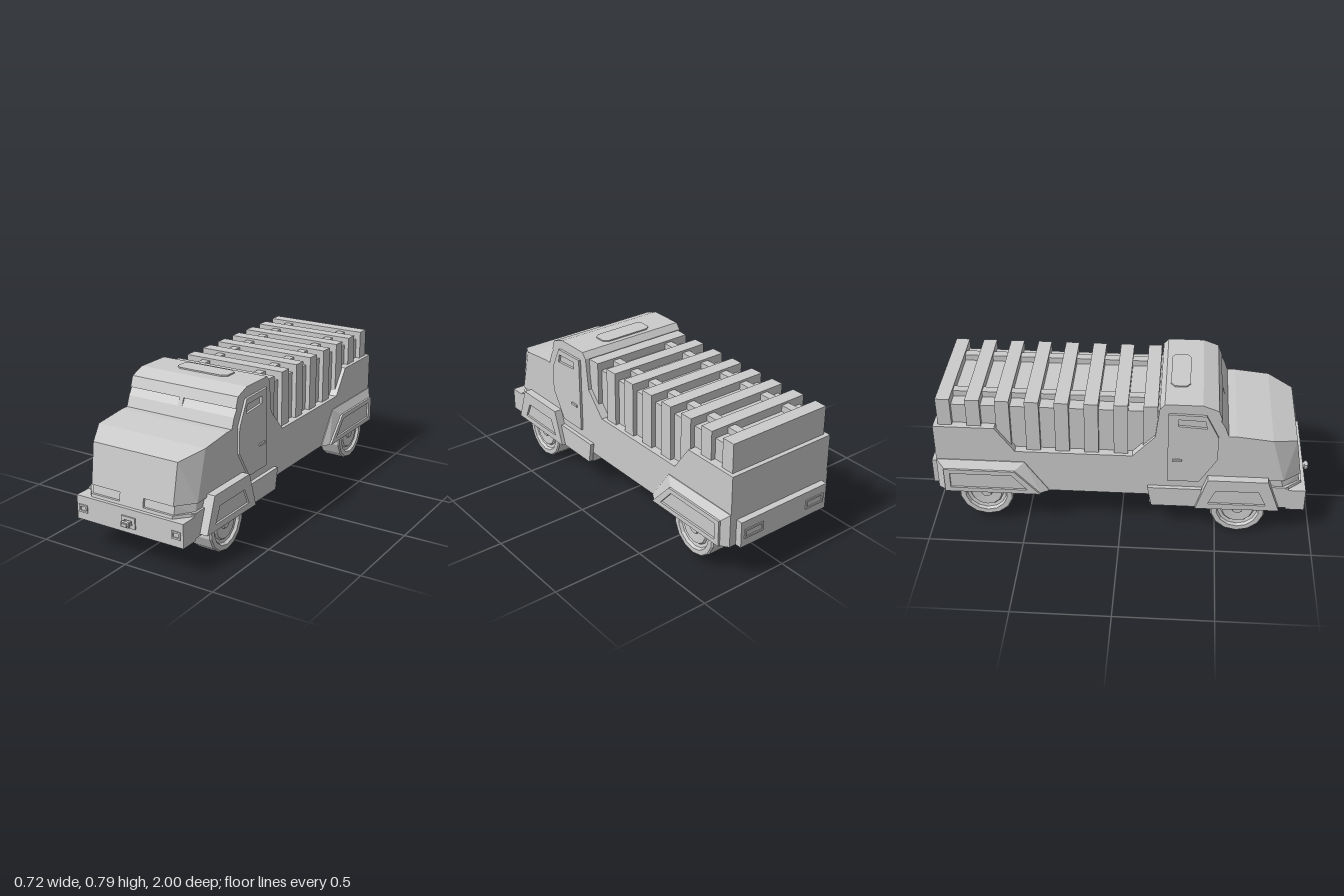
import * as THREE from 'three';
import { ConvexGeometry } from 'three/addons/geometries/ConvexGeometry.js';

const material = new THREE.MeshStandardMaterial({ color: 0xcccccc, flatShading: true });

export function createModel() {
  const truck = new THREE.Group();
  truck.name = 'armouredTruck';

  const add = (name, geometry) => {
    const mesh = new THREE.Mesh(geometry, material);
    mesh.name = name;
    truck.add(mesh);
    return mesh;
  };
  // Box given by its centre and size
  const box = (name, x, y, z, w, h, d) =>
    add(name, new THREE.BoxGeometry(w, h, d).translate(x, y, z));
  const outline = (points, hole) => {
    const shape = new THREE.Shape(points.map(p => new THREE.Vector2(...p)));
    if (hole) shape.holes.push(new THREE.Path(hole.map(p => new THREE.Vector2(...p))));
    return shape;
  };
  // Side outline in (z, y), extruded across x from a to b
  const across = (name, points, a, b, hole) =>
    add(name, new THREE.ExtrudeGeometry(outline(points, hole), { depth: Math.abs(b - a), bevelEnabled: false })
      .rotateY(-Math.PI / 2).translate(Math.max(a, b), 0, 0));
  // Convex solid; each point is mirrored to both sides
  const symmetricHull = (name, points) =>
    add(name, new ConvexGeometry(points.flatMap(([x, y, z]) =>
      [new THREE.Vector3(x, y, z), new THREE.Vector3(-x, y, z)])));
  // Rectangular rim facing front or back
  const rim = (name, x, y, z, w, h, t, depth) => {
    const rect = (a, b) => [[-a, -b], [a, -b], [a, b], [-a, b]];
    add(name, new THREE.ExtrudeGeometry(outline(rect(w / 2, h / 2), rect(w / 2 - t, h / 2 - t)),
      { depth, bevelEnabled: false }).translate(x, y, z));
  };

  // Cab, bed and floor in one profile, with the windscreen slit notched in
  const W = 0.315;
  across('body', [[0.87, 0.16], [0.87, 0.285], [0.545, 0.285], [0.545, 0.605], [0.525, 0.66], [0.5, 0.7],
    [0.51, 0.7], [0.49, 0.755], [0.41, 0.785], [0.22, 0.785], [0.195, 0.755], [0.175, 0.585], [0.06, 0.46],
    [-0.545, 0.46], [-0.645, 0.6], [-0.96, 0.6], [-0.96, 0.215], [0.15, 0.215], [0.15, 0.16]], -W, W);
  across('windscreenPillar', [[0.525, 0.66], [0.51, 0.7], [0.49, 0.7], [0.49, 0.66]], -0.012, 0.012);

  // Roof hatch with clipped corners
  const hatch = [[-0.152, 0.325], [-0.125, 0.345], [0.125, 0.345], [0.152, 0.325],
    [0.152, 0.265], [0.125, 0.245], [-0.125, 0.245], [-0.152, 0.265]];
  symmetricHull('roofHatch', hatch.flatMap(([x, z]) => [[x, 0.78, z], [x, 0.792, z]]));

  // Hood: tapered nose, cut back below for the headlight recess
  const nose = (y, inset = 0) => {
    const t = (y - 0.28) / 0.265;
    return [[0.24 + 0.007 * t, y, 0.94 - 0.042 * t - inset],
      [W - inset, y, 0.855 - 0.085 * (y - 0.28) / 0.305 - inset], [W - inset, y, 0.54]];
  };
  symmetricHull('hood', [...nose(0.335), [0.247, 0.545, 0.898], [W, 0.585, 0.77],
    [W, 0.605, 0.587], [W, 0.605, 0.54]]);
  symmetricHull('headlights', [...nose(0.28, 0.012), ...nose(0.336, 0.012)]);
  symmetricHull('noseSill', [...nose(0.27), ...nose(0.29)]);
  across('grilleCentre', [[0.94, 0.28], [0.9313, 0.335], [0.86, 0.335], [0.86, 0.28]], -0.07, 0.07);

  // Front bumper with lamps and tow hook
  box('frontBumper', 0, 0.212, 0.912, 2 * W, 0.125, 0.096);
  rim('towPlate', 0, 0.207, 0.955, 0.082, 0.058, 0.018, 0.012);
  box('towPin', 0, 0.205, 0.975, 0.03, 0.016, 0.05);
  box('towHead', 0, 0.205, 0.987, 0.044, 0.024, 0.016);

  // Rear bumper
  box('rearBumper', 0, 0.285, -0.97, 0.56, 0.14, 0.05);

  for (const s of [1, -1]) {
    rim('frontLamp', s * 0.275, 0.21, 0.955, 0.05, 0.04, 0.009, 0.01);
    rim('rearLamp', s * 0.2, 0.285, -1, 0.12, 0.05, 0.01, 0.01);

    // Door: backing plate, outer skin with slit window, and handle
    const door = [[0.495, 0.6], [0.43, 0.73], [0.24, 0.735], [0.24, 0.32], [0.405, 0.32], [0.495, 0.465]];
    across('door', door, s * 0.31, s * 0.328,
      [[0.435, 0.655], [0.425, 0.7], [0.29, 0.705], [0.29, 0.665]]);
    box('doorHandle', s * 0.33, 0.455, 0.29, 0.012, 0.012, 0.05);

    // Step behind the front wheel
    across('sideStep', [[0.42, 0.16], [0.42, 0.275], [0.14, 0.275], [0.16, 0.16]], s * 0.31, s * 0.337);

    // Front fender with sunken panel
    const front = [[0.825, 0.17], [0.76, 0.352], [0.45, 0.352], [0.39, 0.165]];
    across('frontFender', front, s * 0.3, s * 0.347);
    across('frontFenderFrame', front, s * 0.347, s * 0.358,
      [[0.755, 0.2], [0.715, 0.285], [0.495, 0.285], [0.455, 0.2]]);

    // Rear fender, its top sloping in to the body, with sunken panel
    const rear = [[-0.42, 0.215], [-0.55, 0.355], [-0.92, 0.355], [-0.92, 0.215]];
    const root = [[-0.375, 0.215], [-0.5, 0.395], [-0.96, 0.395], [-0.96, 0.215]];
    add('rearFender', new ConvexGeometry([
      ...root.map(([z, y]) => new THREE.Vector3(s * 0.31, y, z)),
      ...root.map(([z, y]) => new THREE.Vector3(s * 0.319, y, z)),
      ...rear.map(([z, y]) => new THREE.Vector3(s * 0.345, y, z))]));
    across('rearFenderFrame', rear, s * 0.345, s * 0.356,
      [[-0.485, 0.24], [-0.565, 0.33], [-0.89, 0.33], [-0.89, 0.24]]);

    // Wheels: faceted tyre with dished hub
    const profile = [[0, -0.075], [0.025, -0.075], [0.03, -0.045], [0.095, -0.045], [0.105, -0.0625],
      [0.138, -0.0625], [0.145, -0.055], [0.145, 0.055], [0.138, 0.0625], [0.112, 0.0625], [0.104, 0.048],
      [0.088, 0.044], [0.08, 0.054], [0.03, 0.05], [0.025, 0.06], [0, 0.06]];
    for (const [name, y, z] of [['frontWheel', 0.145, 0.614], ['rearWheel', 0.19, -0.71]]) {
      add(name, new THREE.LatheGeometry(profile.map(p => new THREE.Vector2(...p)), 14, s * Math.PI / 2)
        .rotateZ(-s * Math.PI / 2).translate(s * 0.268, y, z));
    }

    // Lengthwise rails over the cargo box
    box('cargoRail', s * 0.172, 0.725, -0.375, 0.045, 0.035, 1.1);
  }

  // Cargo box with ribs
  box('cargoBox', 0, 0.58, -0.37, 0.54, 0.26, 1.11);
  for (let i = 0; i < 8; i++) box('cargoRib', 0, 0.602, -0.9 + 0.15 * i, 0.59, 0.305, 0.072);

  return truck;
}
